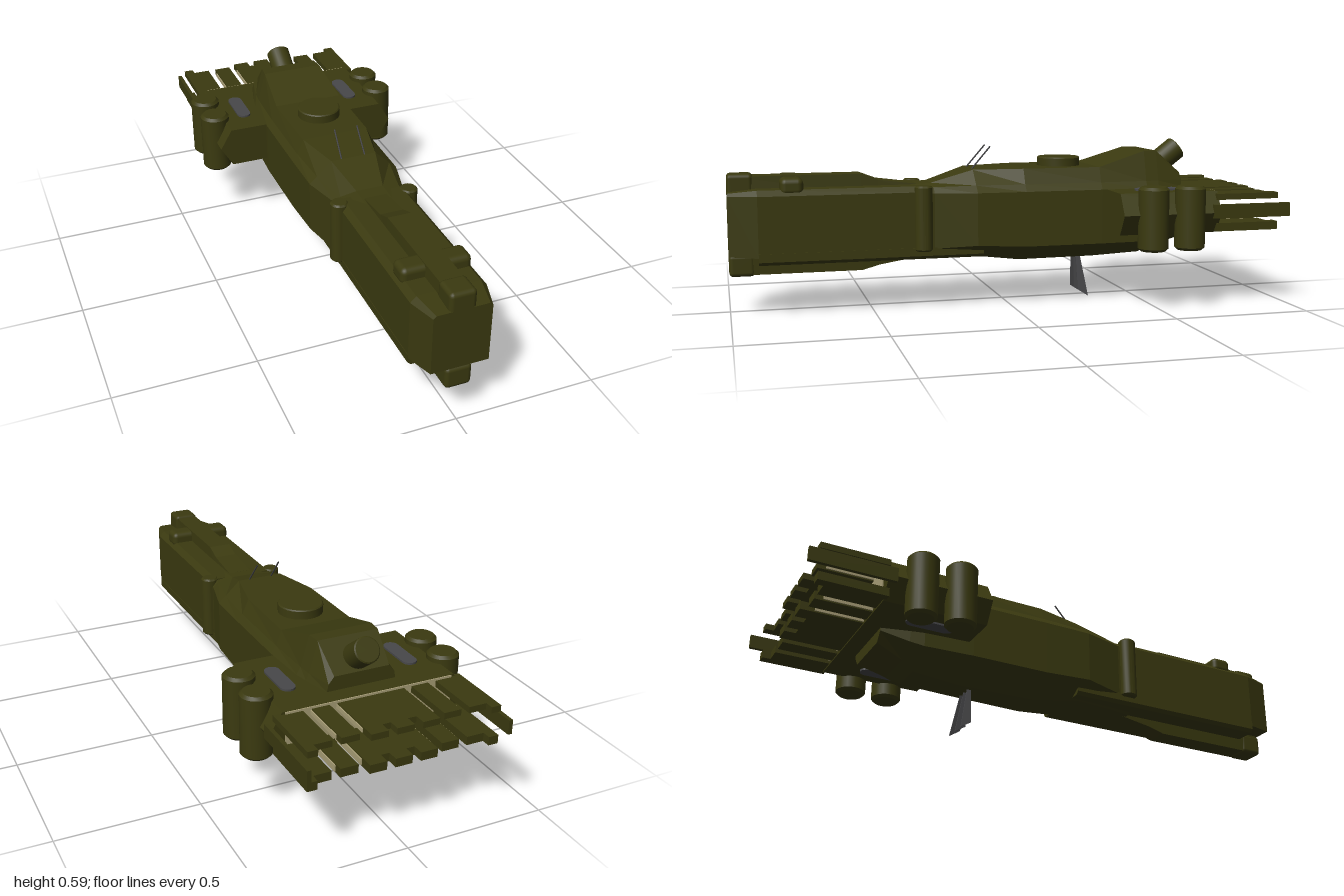
import * as THREE from 'three';
import { toCreasedNormals } from 'three/addons/utils/BufferGeometryUtils.js';
import { RoundedBoxGeometry } from 'three/addons/geometries/RoundedBoxGeometry.js';

// Flat-shaded loft. Each section is [z, [x, y], ...]: the +x half outline, top to bottom, front to back.
function loft(sections) {
  const rings = sections.map(([z, ...half]) => [
    ...half.map(([x, y]) => [x, y, z]),
    ...half.slice().reverse().map(([x, y]) => [-x, y, z]),
  ]);
  const n = rings[0].length, pos = [];
  const tri = (...pts) => pts.forEach((p) => pos.push(...p));
  for (let i = 0; i < rings.length - 1; i++) {
    for (let j = 0; j < n; j++) {
      const k = (j + 1) % n;
      tri(rings[i][j], rings[i][k], rings[i + 1][k]);
      tri(rings[i][j], rings[i + 1][k], rings[i + 1][j]);
    }
  }
  const first = rings[0], last = rings[rings.length - 1];
  for (let j = 1; j < n - 1; j++) {
    tri(first[0], first[j + 1], first[j]);
    tri(last[0], last[j], last[j + 1]);
  }
  const g = new THREE.BufferGeometry();
  g.setAttribute('position', new THREE.Float32BufferAttribute(pos, 3));
  g.computeVertexNormals();
  return g;
}

// Upright drum with bevelled rims
function drum(r, h, bevel) {
  const pts = [[0, -h / 2], [r - bevel, -h / 2], [r, -h / 2 + bevel], [r, h / 2 - bevel], [r - bevel, h / 2], [0, h / 2]];
  return toCreasedNormals(new THREE.LatheGeometry(pts.map(([x, y]) => new THREE.Vector2(x, y)), 24), 0.5);
}

export function createModel() {
  const group = new THREE.Group();
  const olive = new THREE.MeshStandardMaterial({ color: 0x3b3a10 });
  olive.name = 'olive hull';
  const grey = new THREE.MeshStandardMaterial({ color: 0x48484a, side: THREE.DoubleSide });
  grey.name = 'grey metal';
  const tan = new THREE.MeshStandardMaterial({ color: 0xaaa078 });
  tan.name = 'tan glow';

  const add = (name, geo, mat, x = 0, y = 0, z = 0) => {
    const m = new THREE.Mesh(geo, mat);
    m.name = name;
    m.position.set(x, y, z);
    group.add(m);
    return m;
  };
  // Box given by its limits
  const box = (name, mat, x0, x1, y0, y1, z0, z1) =>
    add(name, new THREE.BoxGeometry(x1 - x0, y1 - y0, z1 - z0), mat, (x0 + x1) / 2, (y0 + y1) / 2, (z0 + z1) / 2);

  // Main hull with raised rear deck and keel
  add('mainHull', loft([
    [0.36, [0.05, 0.445], [0.11, 0.44], [0.13, 0.42], [0.13, 0.22], [0.06, 0.175]],
    [0.28, [0.05, 0.45], [0.11, 0.44], [0.13, 0.42], [0.13, 0.22], [0.07, 0.178]],
    [0.13, [0.085, 0.497], [0.14, 0.445], [0.168, 0.42], [0.168, 0.23], [0.08, 0.18]],
    [-0.05, [0.125, 0.5], [0.15, 0.445], [0.17, 0.42], [0.17, 0.22], [0.06, 0.155]],
    [-0.34, [0.13, 0.5], [0.15, 0.445], [0.17, 0.42], [0.17, 0.22], [0.05, 0.155]],
    [-0.52, [0.115, 0.555], [0.145, 0.445], [0.16, 0.42], [0.16, 0.22], [0.06, 0.165]],
    [-0.57, [0.11, 0.555], [0.14, 0.445], [0.15, 0.42], [0.15, 0.23], [0.08, 0.19]],
    [-0.67, [0.1, 0.47], [0.12, 0.445], [0.125, 0.42], [0.125, 0.26], [0.1, 0.225]],
  ]), olive);

  // Long forward hull with tapered nose
  add('forwardHull', loft([
    [1, [0.09, 0.435], [0.1, 0.425], [0.1, 0.215]],
    [0.9, [0.11, 0.445], [0.13, 0.425], [0.13, 0.21]],
    [0.3, [0.11, 0.445], [0.13, 0.425], [0.13, 0.21]],
  ]), olive);
  add('lowerHullSkirt', loft([
    [0.9, [0.132, 0.225], [0.132, 0.195], [0.12, 0.183]],
    [0.1, [0.132, 0.225], [0.132, 0.195], [0.12, 0.183]],
  ]), olive);

  // Top and bottom rails along the forward hull
  add('topRail', loft([
    [0.98, [0.04, 0.488], [0.045, 0.42]],
    [0.53, [0.042, 0.488], [0.045, 0.42]],
    [0.47, [0.042, 0.465], [0.045, 0.42]],
    [0.33, [0.042, 0.447], [0.045, 0.42]],
  ]), olive);
  add('bottomRail', loft([
    [0.98, [0.045, 0.21], [0.042, 0.138]],
    [0.53, [0.045, 0.21], [0.042, 0.138]],
    [0.47, [0.045, 0.21], [0.042, 0.155]],
    [0.33, [0.045, 0.21], [0.042, 0.178]],
  ]), olive);
  for (const [name, y] of [['topNoseBlock', 0.457], ['bottomNoseBlock', 0.172]]) {
    add(name, new RoundedBoxGeometry(0.092, 0.08, 0.09, 2, 0.015), olive, 0, y, 0.955);
  }
  add('noseCrossBar', new RoundedBoxGeometry(0.244, 0.06, 0.08, 3, 0.02), olive, 0, 0.455, 0.78);

  // Hexagonal wing block across the rear
  const wingSection = [[0.31, 0.42], [0.355, 0.345], [0.31, 0.27]];
  add('wing', loft([[-0.357, ...wingSection], [-0.73, ...wingSection]]), olive);
  box('rearGlowWall', tan, -0.3, 0.3, 0.285, 0.419, -0.734, -0.729);

  // Two layers of rear plates split into prongs
  for (const [y0, y1] of [[0.39, 0.412], [0.275, 0.305]]) {
    box('centrePlate', olive, -0.12, 0.12, y0, y1, -0.91, -0.72);
    for (const x of [-0.09, 0, 0.09]) box('centreTooth', olive, x - 0.03, x + 0.03, y0, y1, -0.95, -0.9);
    for (const s of [-1, 1]) {
      const prong = (name, mat, a, b, z0) =>
        box(name, mat, Math.min(s * a, s * b), Math.max(s * a, s * b), y0, y1, z0, -0.72);
      prong('innerProng', olive, 0.148, 0.21, -0.93);
      prong('outerProng', olive, 0.24, 0.337, -0.93);
      prong('tipProng', olive, 0.302, 0.337, -0.96);
      // Glow strips lining the slots
      for (const x of [0.1225, 0.2125]) {
        box('slotGlow', tan, s * x - 0.002, s * x + 0.002, y0 + 0.004, y1 - 0.004, -0.9, -0.73);
      }
    }
  }

  for (const s of [-1, 1]) {
    box('wingTipSpike', olive, s * 0.35 - 0.007, s * 0.35 + 0.007, 0.325, 0.375, -1, -0.7);

    // Wing-end drums and neck drums
    for (const z of [-0.47, -0.61]) add('wingDrum', drum(0.055, 0.23, 0.01), olive, s * 0.344, 0.331, z);
    add('neckDrum', drum(0.032, 0.235, 0.006), olive, s * 0.13, 0.331, 0.32);

    // Grey rounded panels on both faces of the wing
    const panel = new THREE.Shape();
    panel.absarc(0, 0.06, 0.026, 0, Math.PI, false);
    panel.absarc(0, -0.06, 0.026, Math.PI, Math.PI * 2, false);
    for (const y of [0.419, 0.263]) {
      const geo = new THREE.ExtrudeGeometry(panel, { depth: 0.008, bevelEnabled: false, curveSegments: 8 });
      add('wingPanel', geo.rotateX(-Math.PI / 2), grey, s * 0.225, y, -0.53);
    }

    // Thin raked antennas
    const path = new THREE.LineCurve3(new THREE.Vector3(s * 0.045, 0.48, 0.14), new THREE.Vector3(s * 0.043, 0.578, 0.055));
    add('antenna', new THREE.TubeGeometry(path, 1, 0.003, 5), grey);
  }

  // Deck turret and tilted rear drum
  add('deckTurret', drum(0.08, 0.05, 0.004), olive, 0, 0.508, -0.22);
  const rear = add('rearDrum', drum(0.045, 0.16, 0.004), olive, 0, 0.51, -0.636);
  rear.rotation.x = -Math.atan2(0.8, 0.6);

  // Belly fins, flaring downwards
  for (const s of [-1, 0, 1]) {
    const fin = new THREE.Shape([[-0.283, 0.17], [-0.297, 0.17], [-0.328, 0], [-0.288, 0.025]].map(
      ([z, y]) => new THREE.Vector2(-z, y)));
    const geo = new THREE.ExtrudeGeometry(fin, { depth: 0.004, bevelEnabled: false });
    geo.translate(0, 0, -0.002).rotateY(Math.PI / 2);
    const p = geo.attributes.position;
    for (let i = 0; i < p.count; i++) p.setX(i, p.getX(i) + s * (0.05 - 0.13 * p.getY(i)));
    geo.computeVertexNormals();
    add('bellyFin', geo, grey);
  }
  return group;
}
